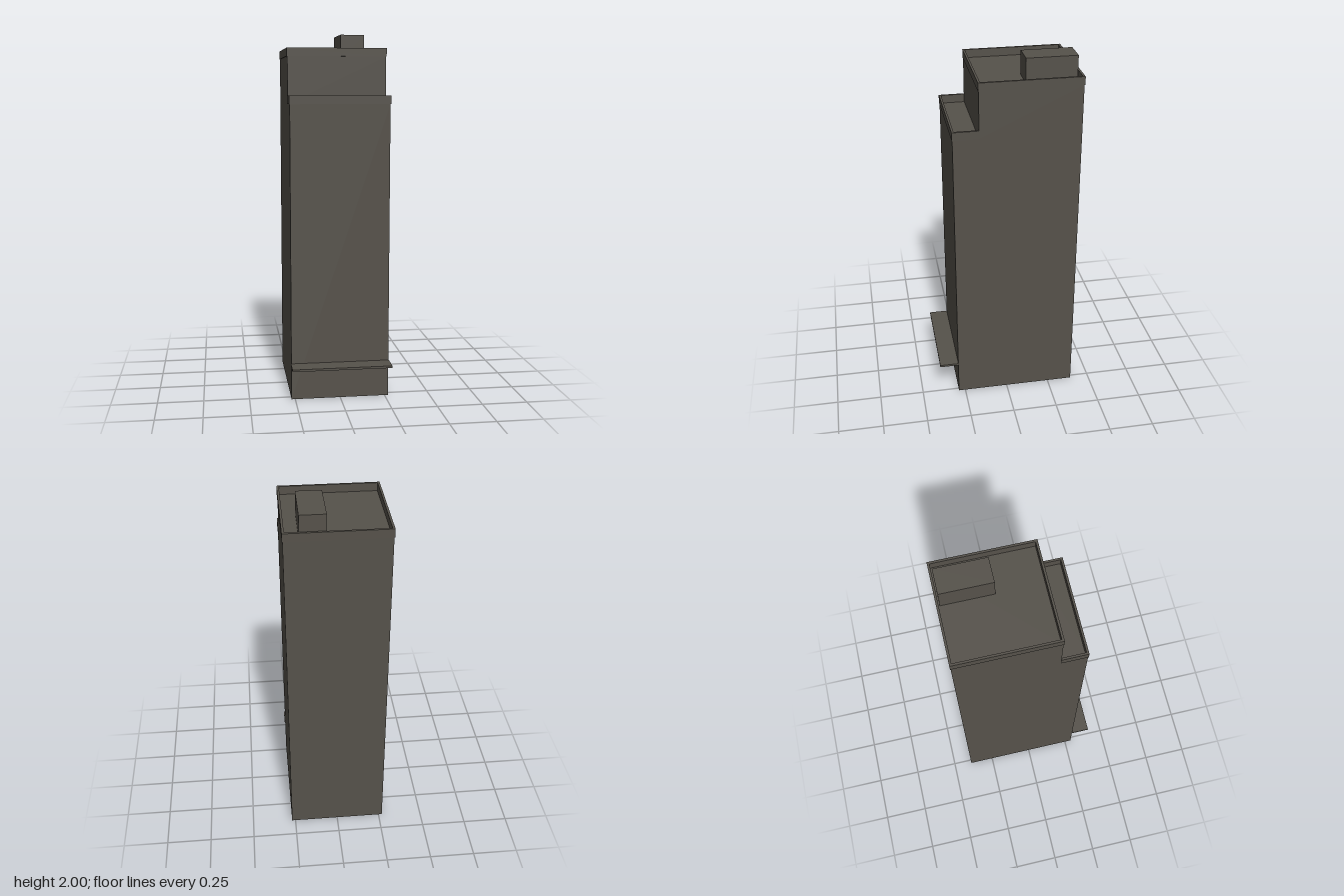
import * as THREE from 'three';

const concrete = new THREE.MeshStandardMaterial({ color: 0x56524b, side: THREE.DoubleSide });
concrete.name = 'dark concrete';

const HALF_W = 0.27, BACK = -0.392, FRONT = 0.288, STEP = 0.15;
const ROOF = 1.87, LEDGE = 1.615, LIP = 0.045, LIP_T = 0.012, LIP_OUT = 0.003;

function add(group, name, geometry) {
  const mesh = new THREE.Mesh(geometry, concrete);
  mesh.name = name;
  group.add(mesh);
}

// Box given by its lower and upper limits
function box([x0, y0, z0], [x1, y1, z1]) {
  return new THREE.BoxGeometry(x1 - x0, y1 - y0, z1 - z0)
    .translate((x0 + x1) / 2, (y0 + y1) / 2, (z0 + z1) / 2);
}

const points = (list) => list.map(([x, y]) => new THREE.Vector2(x, y));

// Plan outline in (x, z), raised from y upwards
function raisePlan(outline, hole, y, height) {
  const flip = (list) => points(list.map(([x, z]) => [x, -z]));
  const shape = new THREE.Shape(flip(outline));
  if (hole) shape.holes.push(new THREE.Path(flip(hole)));
  return new THREE.ExtrudeGeometry(shape, { depth: height, bevelEnabled: false })
    .rotateX(-Math.PI / 2).translate(0, y, 0);
}

const rect = (x, z0, z1) => [[-x, z0], [x, z0], [x, z1], [-x, z1]];

// Stepped tower shell, open underneath
function towerShell() {
  const profile = points([
    [-FRONT, 0], [-BACK, 0], [-BACK, ROOF], [-STEP, ROOF], [-STEP, LEDGE], [-FRONT, LEDGE],
  ]);
  const solid = new THREE.ExtrudeGeometry(new THREE.Shape(profile), { depth: 2 * HALF_W, bevelEnabled: false })
    .translate(0, 0, -HALF_W).rotateY(Math.PI / 2);
  const p = solid.attributes.position;
  const kept = [];
  for (let i = 0; i < p.count; i += 3) {
    const top = Math.max(p.getY(i), p.getY(i + 1), p.getY(i + 2));
    if (top > 0.001) kept.push(i, i + 1, i + 2);
  }
  solid.clearGroups();
  solid.setIndex(kept);
  return solid;
}

export function createModel() {
  const model = new THREE.Group();
  model.name = 'tower';
  const outX = HALF_W + LIP_OUT, inX = outX - LIP_T;

  add(model, 'towerBody', towerShell());

  // Upper roof edge: a closed frame
  const z0 = BACK - LIP_OUT, z1 = STEP + LIP_OUT;
  add(model, 'upperParapet', raisePlan(
    rect(outX, z0, z1), rect(inX, z0 + LIP_T, z1 - LIP_T), ROOF, LIP));

  // Setback edge: three sides, open towards the upper wall
  const f = FRONT + LIP_OUT;
  add(model, 'lowerParapet', raisePlan([
    [-outX, STEP], [-outX, f], [outX, f], [outX, STEP],
    [inX, STEP], [inX, f - LIP_T], [-inX, f - LIP_T], [-inX, STEP],
  ], null, LEDGE, LIP));

  // Rooftop plant room
  add(model, 'roofHousing', box([0.055, ROOF, -0.377], [0.19, 2, -0.105]));

  // Entrance canopy
  add(model, 'canopy', box([-outX, 0.19, FRONT], [outX, 0.202, 0.394]));

  return model;
}
